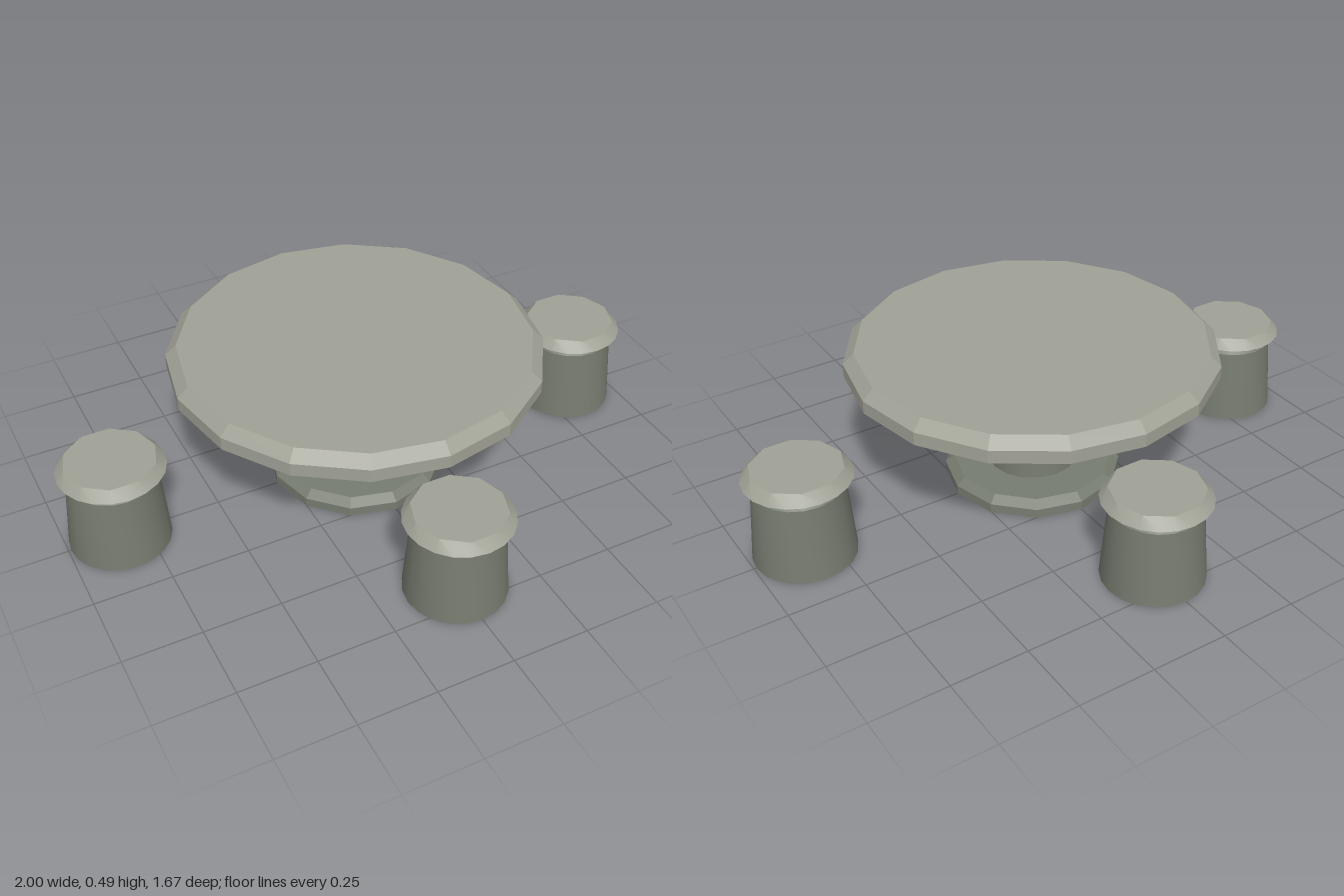
import * as THREE from 'three';
import { toCreasedNormals } from 'three/addons/utils/BufferGeometryUtils.js';

const lightStone = new THREE.MeshStandardMaterial({ color: 0xa1a296, side: THREE.DoubleSide });
lightStone.name = 'lightStone';
const darkStone = new THREE.MeshStandardMaterial({ color: 0x777c70, side: THREE.DoubleSide });
darkStone.name = 'darkStone';

// Hollow turned shell, open below; profile is [radius, y] from bottom to top
function shell(name, profile, sides, crease, material, rule) {
  const points = profile.map(([r, y]) => new THREE.Vector2(r, y));
  const geometry = new THREE.LatheGeometry(points, sides, Math.PI / 2);
  if (rule) rule(geometry.attributes.position, points.length);
  const mesh = new THREE.Mesh(toCreasedNormals(geometry, crease), material);
  mesh.name = name;
  return mesh;
}

// Pulls every other corner of the seat top inward: a 10-sided top on a round rim
function tenSidedTop(position, rows) {
  for (let i = 0; i < position.count; i++) {
    const column = Math.floor(i / rows);
    if (i % rows === 1 && column % 2 === 1) {
      const k = Math.cos(Math.PI / 10);
      position.setX(i, position.getX(i) * k);
      position.setZ(i, position.getZ(i) * k);
    }
  }
}

function createStool(x, z) {
  const stool = new THREE.Group();
  stool.name = 'stool';
  stool.add(
    shell('stoolBody', [[0.162, 0], [0.142, 0.25], [0.115, 0.283], [0, 0.283]], 20, 0.4, darkStone),
    shell('stoolSeat', [[0.17, 0.28], [0.145, 0.313], [0, 0.313]], 20, 0.4, lightStone, tenSidedTop)
  );
  stool.position.set(x, 0, z);
  return stool;
}

export function createModel() {
  const model = new THREE.Group();
  model.name = 'roundTableWithStools';

  // Table: foot, column and chamfered top
  model.add(
    shell('tableFoot', [[0.29, 0], [0.29, 0.03], [0.262, 0.053], [0, 0.053]], 12, 0.1, darkStone),
    shell('tableColumn', [[0.15, 0], [0.127, 0.385], [0.1, 0.418], [0, 0.418]], 16, 0.42, darkStone),
    shell('tableTop', [[0.6, 0.417], [0.6, 0.46], [0.565, 0.493], [0, 0.493]], 16, 0.1, lightStone)
  );

  // Four stools around the table
  for (const side of [-1, 1]) {
    model.add(createStool(side * 0.83, 0), createStool(0, side * 0.664));
  }
  return model;
}
